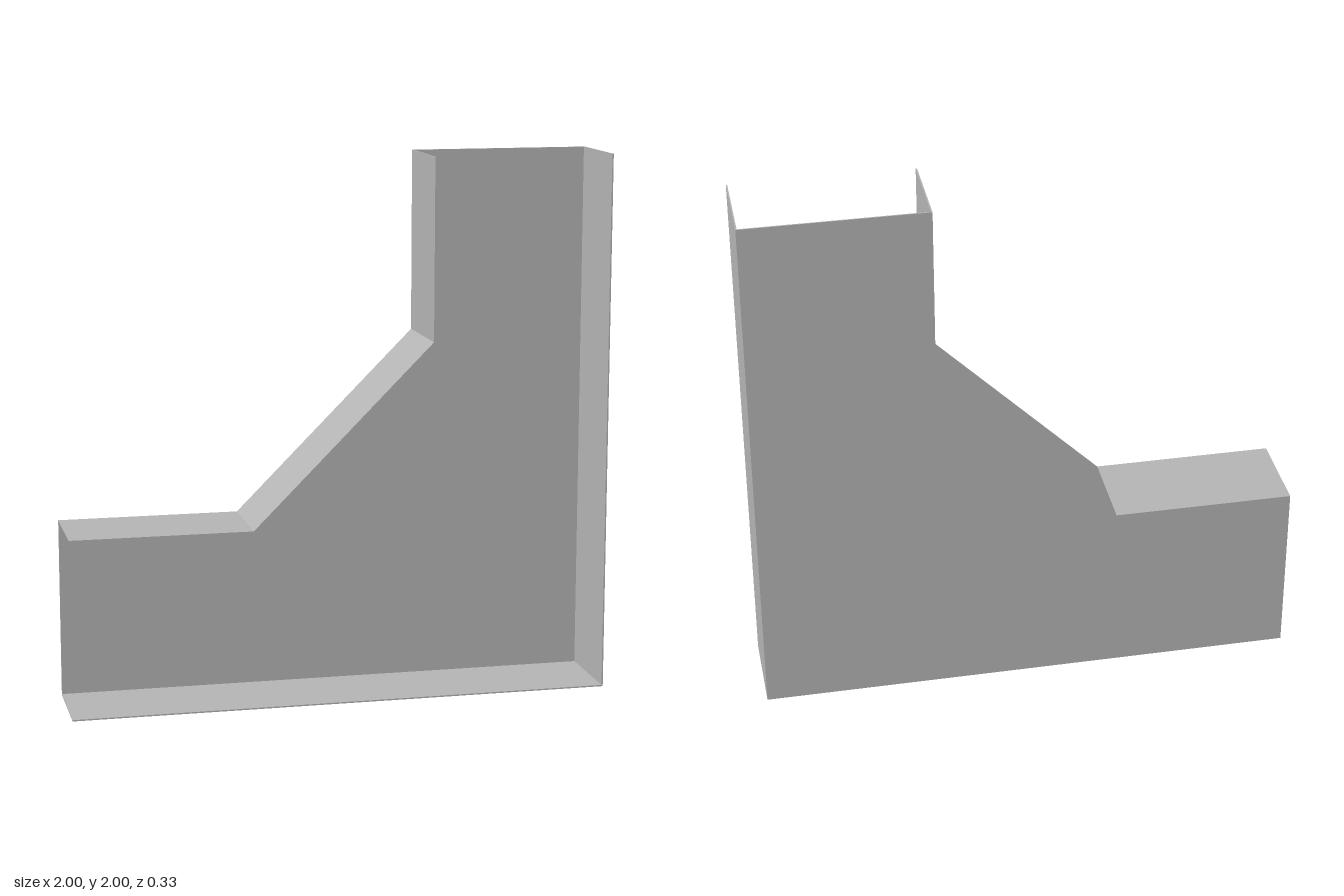
import * as THREE from 'three';

const T = 0.005;          // sheet thickness
const HALF = 0.167;       // half of the channel depth
const A = 0.333, B = 0.667;

// Extrude a closed outline in xy from z0 to z1
function plate(name, points, z0, z1, material) {
  const shape = new THREE.Shape(points.map(([x, y]) => new THREE.Vector2(x, y)));
  const geometry = new THREE.ExtrudeGeometry(shape, { depth: z1 - z0, bevelEnabled: false });
  geometry.translate(0, 0, z0);
  const mesh = new THREE.Mesh(geometry, material);
  mesh.name = name;
  return mesh;
}

export function createModel() {
  const steel = new THREE.MeshStandardMaterial({ color: 0xb4b4b4 });
  steel.name = 'sheet metal grey';
  const group = new THREE.Group();
  group.name = 'channelElbow';

  // Inner bend line from the low open end to the tall open end
  const bend = [[-1, B], [-A, B], [A, 2 - B], [A, 2]];
  const k = T * Math.tan(Math.PI / 8);
  const bendInside = [[A + T, 2], [A + T, 2 - B - k], [-A + k, B - T], [-1, B - T]];

  // Flat back of the channel
  group.add(plate('backPanel', [[-1, 0], [1, 0], [1, 2], ...[...bend].reverse()], -HALF, -HALF + T, steel));

  // Flanges folded towards the front; both ends and the front stay open
  const front = [-HALF + T, HALF, steel];
  group.add(plate('innerFlange', [...bend, ...bendInside], ...front));
  group.add(plate('outerFlange', [[-1, 0], [1, 0], [1, 2], [1 - T, 2], [1 - T, T], [-1, T]], ...front));
  return group;
}
